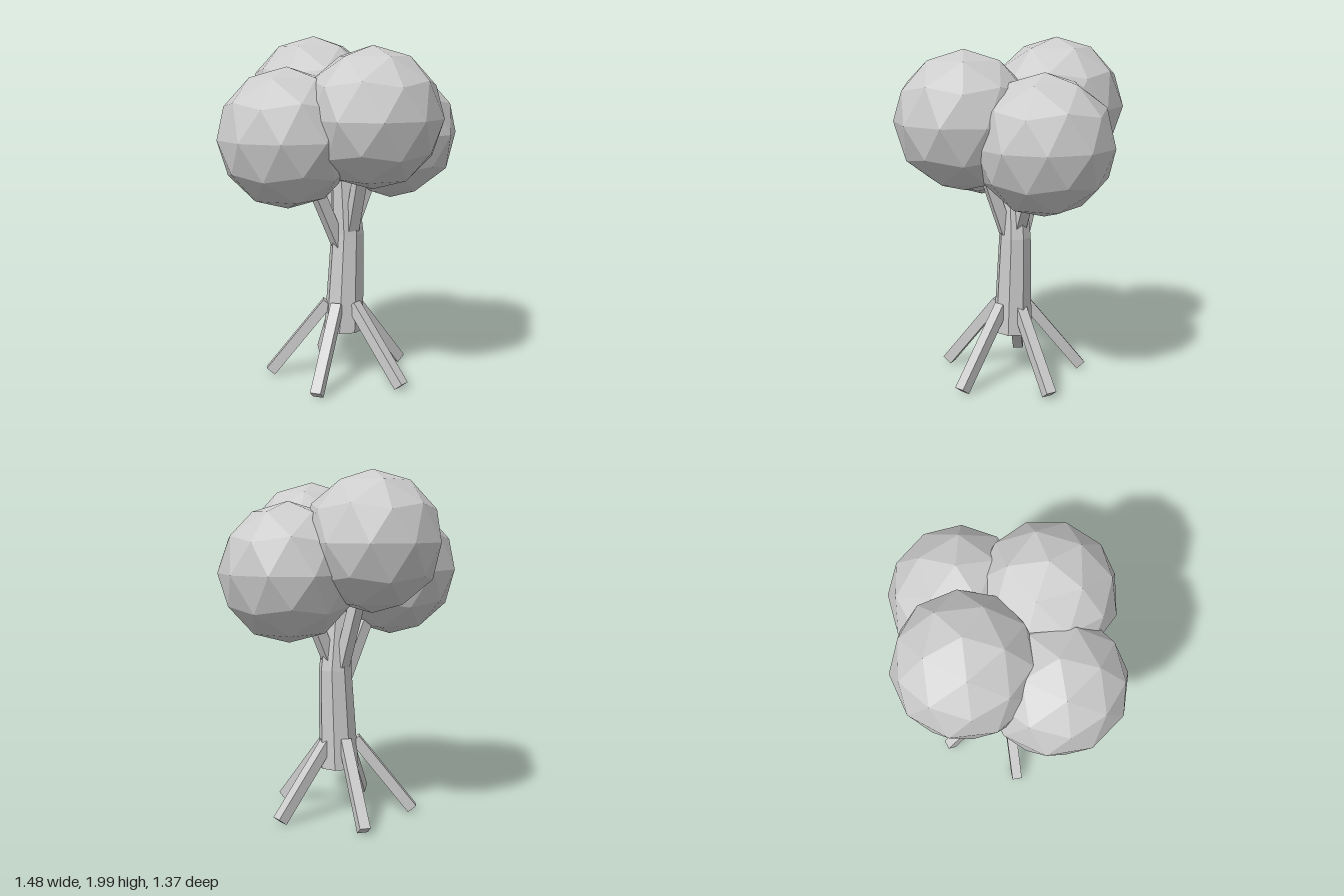
import * as THREE from 'three';

const grey = new THREE.MeshStandardMaterial({ color: 0xcccccc, flatShading: true });
grey.name = 'pale grey';

function part(name, geometry) {
  const mesh = new THREE.Mesh(geometry, grey);
  mesh.name = name;
  return mesh;
}

// Square beam running between two points
function beam(name, from, to, width) {
  const a = new THREE.Vector3(...from);
  const b = new THREE.Vector3(...to);
  const mesh = part(name, new THREE.BoxGeometry(width, width, a.distanceTo(b)));
  mesh.position.copy(a).add(b).multiplyScalar(0.5);
  mesh.lookAt(b);
  return mesh;
}

// Faceted ball standing on a vertex; turn is the azimuth of its upper ring, from +z towards +x
function foliage(name, position, turn) {
  const geometry = new THREE.IcosahedronGeometry(0.39, 1);
  geometry.rotateZ(Math.atan(2 / (1 + Math.sqrt(5))));
  geometry.rotateY(THREE.MathUtils.degToRad(turn - 270));
  geometry.computeVertexNormals();
  const mesh = part(name, geometry);
  mesh.position.set(...position);
  return mesh;
}

// Eight-sided trunk with a bend half way up
function trunk() {
  const rings = [
    { x: 0.012, y: 0.29, r: 0.12 },
    { x: 0.038, y: 0.87, r: 0.098 },
    { x: 0.008, y: 1.28, r: 0.072 },
  ];
  const geometry = new THREE.CylinderGeometry(1, 1, 2, 8, 2);
  const p = geometry.attributes.position;
  for (let i = 0; i < p.count; i++) {
    const ring = rings[Math.round(p.getY(i)) + 1];
    p.setXYZ(i, ring.x + p.getX(i) * ring.r, ring.y, p.getZ(i) * ring.r * 0.94);
  }
  geometry.computeVertexNormals();
  return part('trunk', geometry);
}

export function createModel() {
  const tree = new THREE.Group();
  tree.name = 'tree';
  tree.add(trunk());

  // Five splayed roots
  const roots = new THREE.Group();
  roots.name = 'roots';
  for (let i = 0; i < 5; i++) {
    const angle = (i * Math.PI * 2) / 5;
    const at = (r, y) => [r * Math.cos(angle), y, r * Math.sin(angle)];
    roots.add(beam('root', at(0.085, 0.455), at(0.424, 0.031), 0.062));
  }
  tree.add(roots);

  // Four branches reaching into the crown
  const branches = new THREE.Group();
  branches.name = 'branches';
  branches.add(
    beam('rightBranch', [-0.02, 0.8, 0], [-0.3, 1.4, 0], 0.065),
    beam('leftBranch', [0.06, 0.89, 0], [0.29, 1.4, 0], 0.065),
    beam('frontBranch', [0.03, 0.9, 0.055], [0, 1.45, 0.24], 0.065),
    beam('backBranch', [0.03, 0.9, -0.055], [0, 1.48, -0.24], 0.065),
  );
  tree.add(branches);

  // Crown of four overlapping balls
  const crown = new THREE.Group();
  crown.name = 'crown';
  crown.add(
    foliage('frontFoliage', [-0.005, 1.555, 0.3], -10),
    foliage('backFoliage', [0, 1.61, -0.295], 159),
    foliage('leftFoliage', [0.352, 1.44, 0], 114),
    foliage('rightFoliage', [-0.365, 1.44, 0], 306),
  );
  tree.add(crown);
  return tree;
}
